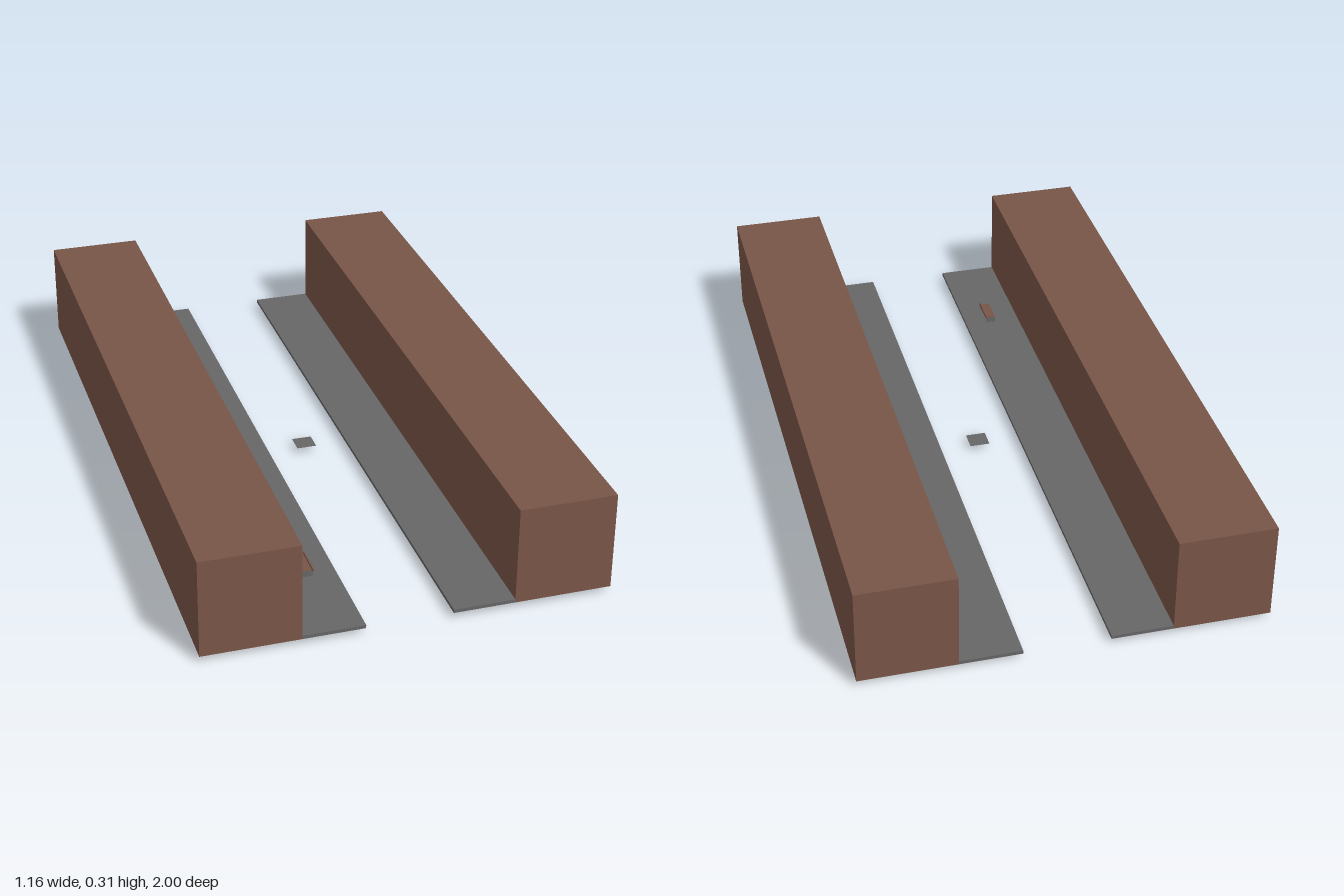
import * as THREE from 'three';

export function createModel() {
  const brown = new THREE.MeshStandardMaterial({ color: 0x795548 });
  brown.name = 'brown';
  const grey = new THREE.MeshStandardMaterial({ color: 0x666666, side: THREE.DoubleSide });
  grey.name = 'grey';
  const model = new THREE.Group();
  model.name = 'street';

  // Box given by its lower and upper corners
  function box(name, parent, material, [x0, y0, z0], [x1, y1, z1]) {
    const mesh = new THREE.Mesh(new THREE.BoxGeometry(x1 - x0, y1 - y0, z1 - z0), material);
    mesh.position.set((x0 + x1) / 2, (y0 + y1) / 2, (z0 + z1) / 2);
    mesh.name = name;
    parent.add(mesh);
  }

  // Building block and pavement on each side of the street
  for (const [side, s] of [['left', 1], ['right', -1]]) {
    const span = (a, b) => (s > 0 ? [a, b] : [-b, -a]);
    const [b0, b1] = span(0.301, 0.581);
    box(side + 'Building', model, brown, [b0, 0.018, -1], [b1, 0.31, 1]);
    const [p0, p1] = span(0.124, 0.301);
    box(side + 'Pavement', model, grey, [p0, 0.018, -1], [p1, 0.028, 1]);
  }

  // Flat square cover in the middle of the street
  const cover = new THREE.Mesh(new THREE.PlaneGeometry(0.06, 0.06), grey);
  cover.rotation.x = -Math.PI / 2;
  cover.position.y = 0.019;
  cover.name = 'roadCover';
  model.add(cover);

  // Bench on the right pavement, its legs sunk through the slab
  const bench = new THREE.Group();
  bench.name = 'bench';
  model.add(bench);
  for (const z of [0.648, 0.73]) {
    box('benchLeg', bench, grey, [-0.222, 0, z - 0.002], [-0.191, 0.046, z + 0.002]);
  }
  box('benchSeat', bench, brown, [-0.222, 0.043, 0.646], [-0.191, 0.047, 0.732]);
  box('benchBack', bench, brown, [-0.194, 0.045, 0.643], [-0.19, 0.053, 0.735]);

  return model;
}
